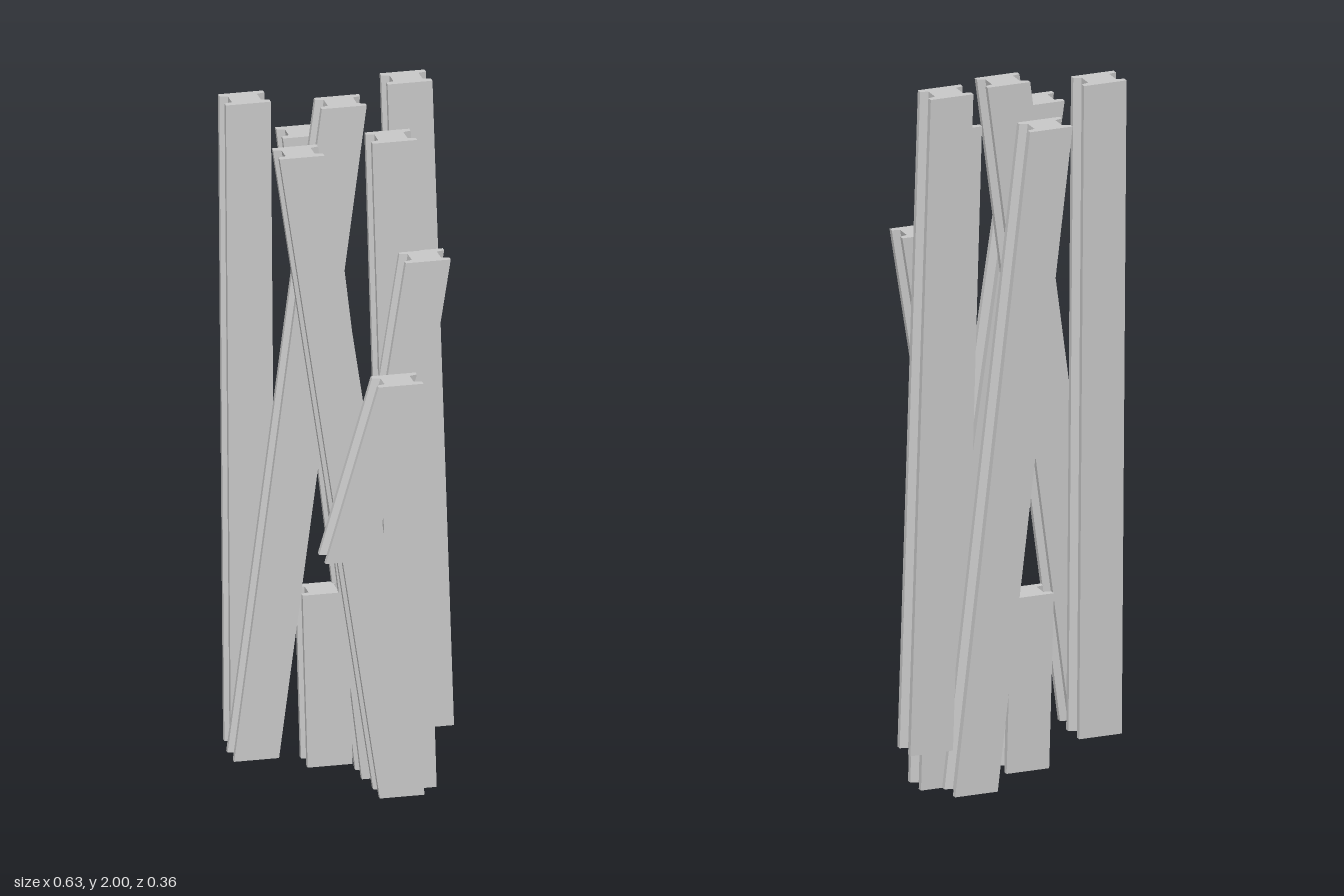
import * as THREE from 'three';

const WIDTH = 0.125, DEPTH = 0.09, FLANGE = 0.016, TAPER = 0.022, INSET = 0.022;

// I-section with flanges facing front and back, and tapered inner faces
function beamSection() {
  const w = WIDTH / 2, d = DEPTH / 2;
  const side = [[w, -d], [w, -d + FLANGE], [w - INSET, -d + TAPER],
    [w - INSET, d - TAPER], [w, d - FLANGE], [w, d]];
  const points = [...side, ...side.map(([x, y]) => [-x, -y])];
  return new THREE.Shape(points.map(([x, y]) => new THREE.Vector2(x, y)));
}

// Leaning beam with level ends: sheared from (x0, y0) at the foot to (x1, y1) at the top
function beam(name, [x0, y0], [x1, y1], z, section, material) {
  const height = y1 - y0;
  const geometry = new THREE.ExtrudeGeometry(section, { depth: height, bevelEnabled: false });
  geometry.rotateX(-Math.PI / 2);
  const p = geometry.attributes.position;
  for (let i = 0; i < p.count; i++) {
    p.setX(i, p.getX(i) + x0 + (x1 - x0) * p.getY(i) / height);
  }
  geometry.translate(0, y0, z);
  geometry.computeVertexNormals();
  const mesh = new THREE.Mesh(geometry, material);
  mesh.name = name;
  return mesh;
}

export function createModel() {
  const group = new THREE.Group();
  group.name = 'leaningBeams';
  const material = new THREE.MeshStandardMaterial({ color: 0xcccccc, flatShading: true });
  const section = beamSection();
  // name, foot centre [x, y], top centre [x, y], depth z
  const beams = [
    // back layer
    ['backRightBeam', [-0.243, 0.12], [-0.257, 1.98], -0.136],
    ['backLeftBeam', [0.253, 0.137], [0.193, 2.0], -0.137],
    ['backCrossBeam', [0.122, 0.003], [-0.098, 1.87], -0.138],
    ['backShortBeam', [-0.029, 0.05], [-0.043, 0.547], -0.138],
    // second layer
    ['middleCrossBeam', [-0.256, 0.12], [-0.012, 1.98], -0.047],
    ['middleLeftBeam', [0.181, 0], [0.127, 1.87], -0.041],
    // third layer
    ['frontCrossBeam', [0.127, 0.013], [-0.152, 1.88], 0.044],
    ['frontShortBeam', [0.121, 1.055], [0.199, 1.55], 0.045],
    // outermost piece
    ['outerShortBeam', [-0.046, 0.737], [0.101, 1.233], 0.135],
  ];
  for (const [name, foot, top, z] of beams) {
    group.add(beam(name, foot, top, z, section, material));
  }
  return group;
}
